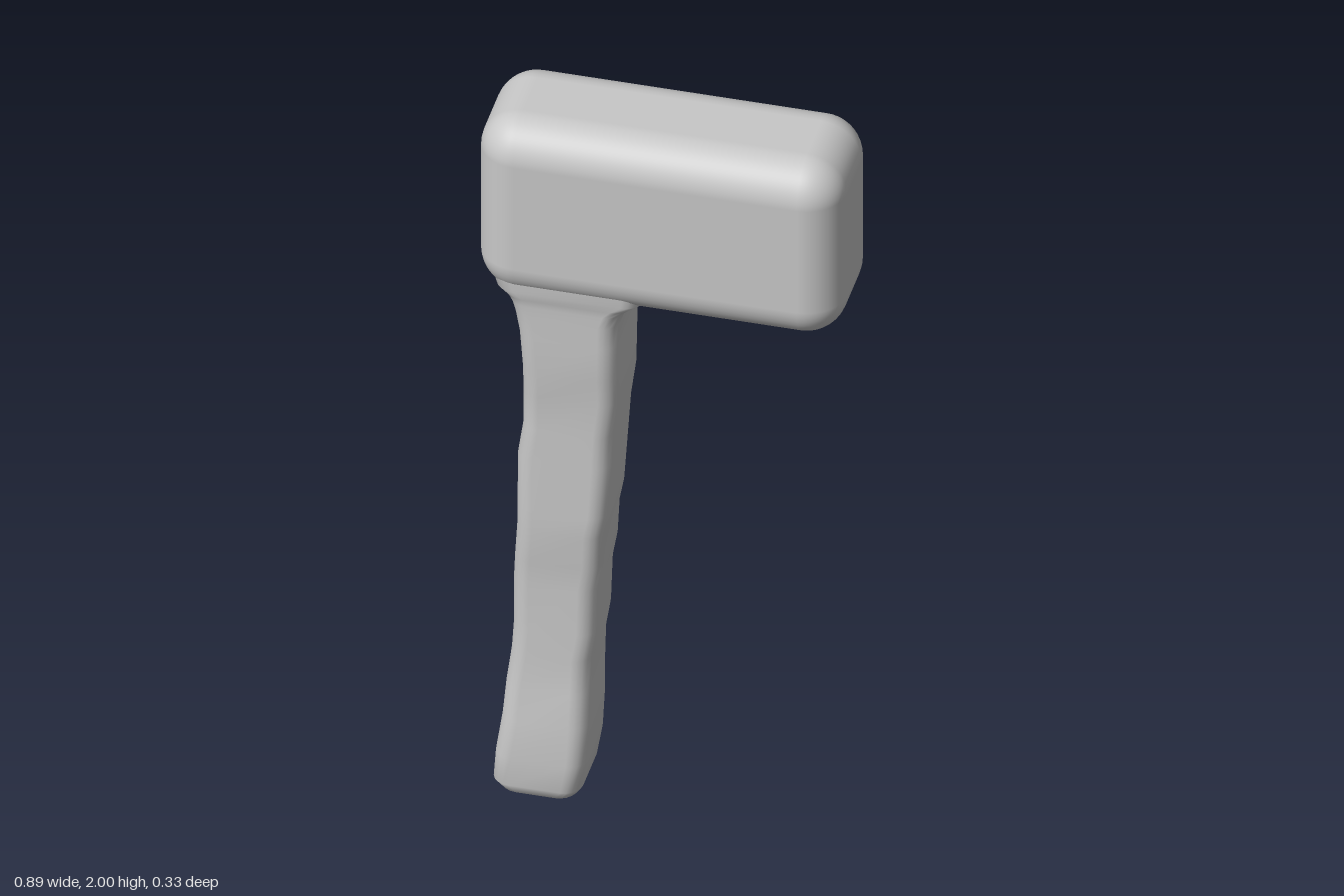
import * as THREE from 'three';
import { RoundedBoxGeometry } from 'three/addons/geometries/RoundedBoxGeometry.js';

// Handle cross-sections: y, xMin, xMax, zMin, zMax, corner radius
const SECTIONS = [
  [0.005, -0.385, -0.235, -0.07, 0.09, 0.04],
  [0.013, -0.402, -0.216, -0.088, 0.107, 0.045],
  [0.04, -0.418, -0.2, -0.1, 0.12, 0.045],
  [0.12, -0.412, -0.187, -0.102, 0.122, 0.045],
  [0.23, -0.396, -0.181, -0.1, 0.12, 0.045],
  [0.32, -0.39, -0.181, -0.1, 0.107, 0.045],
  [0.42, -0.377, -0.178, -0.098, 0.105, 0.045],
  [0.5, -0.372, -0.165, -0.094, 0.105, 0.045],
  [0.63, -0.372, -0.162, -0.1, 0.105, 0.045],
  [0.7, -0.368, -0.15, -0.1, 0.11, 0.045],
  [0.8, -0.36, -0.145, -0.1, 0.12, 0.045],
  [0.86, -0.36, -0.134, -0.1, 0.119, 0.045],
  [1.01, -0.358, -0.124, -0.1, 0.12, 0.045],
  [1.1, -0.345, -0.121, -0.114, 0.12, 0.045],
  [1.2, -0.344, -0.108, -0.114, 0.122, 0.045],
  [1.28, -0.343, -0.107, -0.116, 0.134, 0.045],
  [1.38, -0.35, -0.106, -0.12, 0.136, 0.045],
  [1.44, -0.36, -0.104, -0.121, 0.138, 0.045],
  [1.475, -0.37, -0.093, -0.124, 0.139, 0.045],
  [1.495, -0.383, -0.07, -0.13, 0.141, 0.05],
  [1.52, -0.405, -0.04, -0.14, 0.148, 0.05],
  [1.58, -0.42, -0.04, -0.15, 0.15, 0.05],
];

// Smooth loft through rounded rectangles, closed at the bottom
function loftHandle(sections, steps = 5) {
  const pos = [], index = [];
  const n = 4 * (steps + 1);
  for (const [y, x0, x1, z0, z1, r] of sections) {
    const corners = [[x1 - r, z1 - r], [x0 + r, z1 - r], [x0 + r, z0 + r], [x1 - r, z0 + r]];
    corners.forEach(([cx, cz], c) => {
      for (let s = 0; s <= steps; s++) {
        const a = (c + s / steps) * Math.PI / 2;
        pos.push(cx + r * Math.cos(a), y, cz + r * Math.sin(a));
      }
    });
  }
  for (let j = 0; j < sections.length - 1; j++) {
    for (let i = 0; i < n; i++) {
      const a = j * n + i, b = j * n + (i + 1) % n;
      index.push(a, a + n, b, b, a + n, b + n);
    }
  }
  // Bottom cap
  const [, x0, x1, z0, z1] = sections[0];
  const centre = pos.length / 3;
  pos.push((x0 + x1) / 2, 0, (z0 + z1) / 2);
  for (let i = 0; i < n; i++) index.push(centre, i, (i + 1) % n);

  const geo = new THREE.BufferGeometry();
  geo.setAttribute('position', new THREE.Float32BufferAttribute(pos, 3));
  geo.setIndex(index);
  geo.computeVertexNormals();
  return geo;
}

export function createModel() {
  const group = new THREE.Group();
  group.name = 'hammer';
  const grey = new THREE.MeshStandardMaterial({ color: 0xc8c8c8 });
  grey.name = 'light grey';

  // Block head with generous rounded edges
  const head = new THREE.Mesh(new RoundedBoxGeometry(0.895, 0.5, 0.333, 6, 0.1), grey);
  head.name = 'head';
  head.position.set(-0.002, 1.75, -0.001);

  // Uneven carved handle, flaring into the head
  const handle = new THREE.Mesh(loftHandle(SECTIONS), grey);
  handle.name = 'handle';

  group.add(head, handle);
  return group;
}
